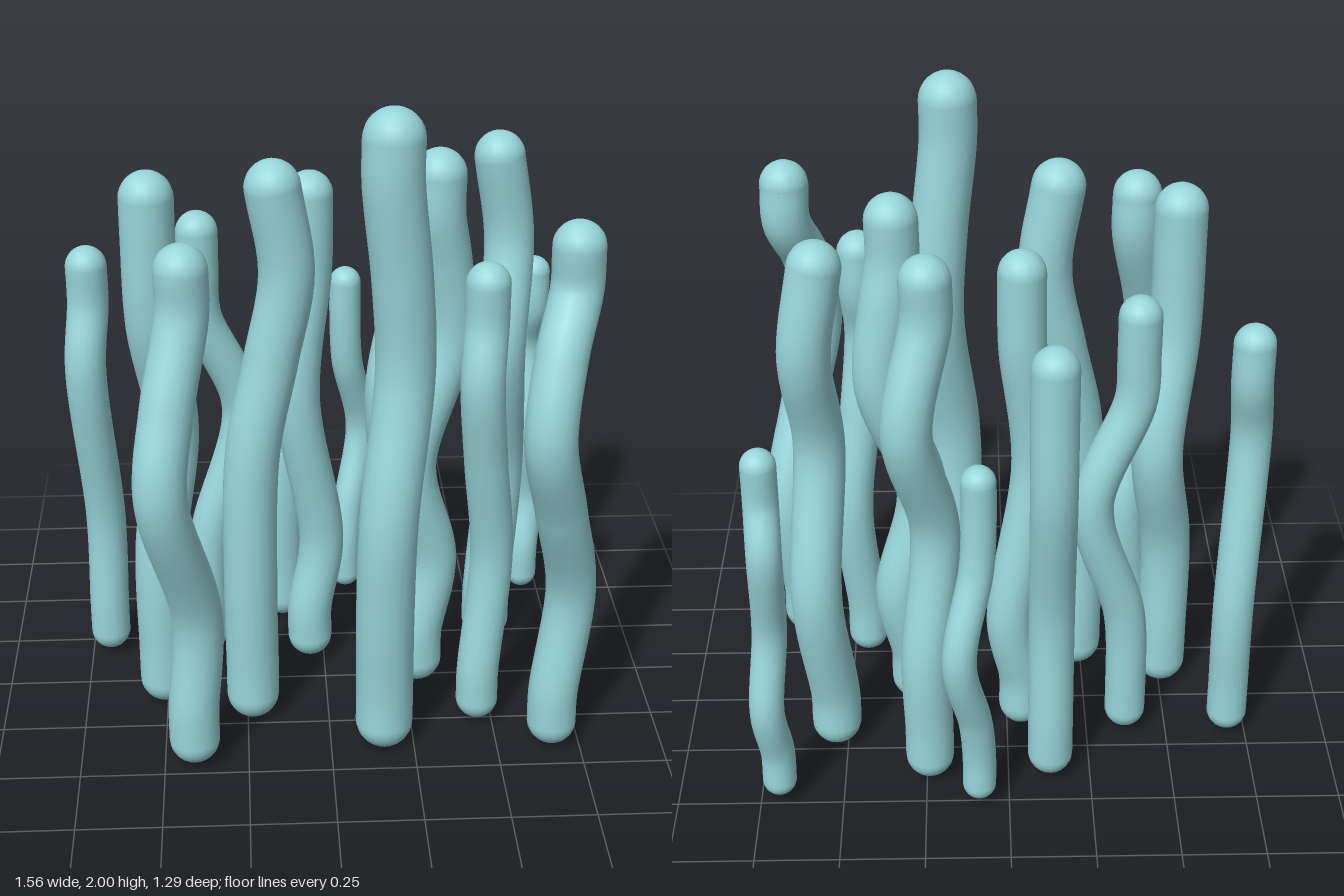
import * as THREE from 'three';

const BASE_Y = 0.088;
const UP = new THREE.Vector3(0, 1, 0);

export function createModel() {
  const model = new THREE.Group();
  const aqua = new THREE.MeshStandardMaterial({ color: 0x98d5d9 });
  aqua.name = 'pale aqua';

  // One wavy strand: a tube through the bends, closed by a dome at each end.
  // base and tip are [x, z], bends are [y, x, z], top is the full height.
  // The foot, and the last tipRun below the tip, stand upright.
  function strand(name, radius, top, base, bends, tip, tipRun = 0.12) {
    const tipY = top - radius;
    const path = [[BASE_Y, ...base], [BASE_Y + 0.1, ...base], ...bends];
    if (tipRun) path.push([tipY - tipRun, ...tip]);
    path.push([tipY, ...tip]);
    const points = path.map(([y, x, z]) => new THREE.Vector3(x, y, z));
    const curve = new THREE.CatmullRomCurve3(points);
    const group = new THREE.Group();
    group.name = name;

    const stem = new THREE.Mesh(new THREE.TubeGeometry(curve, 56, radius, 20), aqua);
    stem.name = 'stem';
    group.add(stem);

    for (const end of [0, 1]) {
      const dome = new THREE.Mesh(
        new THREE.SphereGeometry(radius, 20, 8, 0, Math.PI * 2, 0, Math.PI / 2), aqua);
      dome.name = end ? 'tipDome' : 'baseDome';
      const outward = curve.getTangentAt(end).multiplyScalar(end ? 1 : -1);
      dome.position.copy(points[end ? points.length - 1 : 0]);
      dome.quaternion.setFromUnitVectors(UP, outward);
      group.add(dome);
    }
    model.add(group);
  }

  // Front strands
  strand('tallStrand', 0.086, 2.0, [0.16, 0.365],
    [[0.5, 0.157, 0.39], [0.8, 0.163, 0.4], [1.22, 0.208, 0.325], [1.5, 0.195, 0.335]],
    [0.164, 0.358]);
  strand('frontLeftStrand', 0.074, 1.7, [0.664, 0.39],
    [[0.53, 0.703, 0.37], [0.85, 0.642, 0.478], [1.12, 0.587, 0.565], [1.35, 0.615, 0.505]],
    [0.66, 0.42]);
  strand('frontRightStrand', 0.075, 1.655, [-0.41, 0.437],
    [[0.5, -0.392, 0.425], [0.97, -0.478, 0.57], [1.2, -0.455, 0.515]], [-0.407, 0.43]);
  strand('frontInnerStrand', 0.064, 1.53, [0.452, 0.262],
    [[0.58, 0.484, 0.234], [0.9, 0.452, 0.28], [1.18, 0.428, 0.323]], [0.438, 0.284]);
  strand('frontCentreStrand', 0.08, 1.8, [-0.233, 0.2],
    [[0.5, -0.235, 0.212], [0.92, -0.222, 0.21], [1.2, -0.165, 0.18], [1.46, -0.118, 0.167]],
    [-0.155, 0.177], 0);

  // Middle strands
  strand('middleRightStrand', 0.078, 1.75, [-0.505, 0.1],
    [[0.55, -0.503, 0.1], [0.91, -0.458, 0.022], [1.28, -0.502, 0.1]], [-0.506, 0.112]);
  strand('middleLeftStrand', 0.078, 1.77, [0.288, 0.02],
    [[0.43, 0.33, -0.002], [0.78, 0.256, 0.03], [1.18, 0.37, -0.025], [1.42, 0.35, -0.01]],
    [0.325, 0.012]);
  strand('middleCentreStrand', 0.07, 1.66, [-0.045, -0.125],
    [[0.42, -0.007, -0.147], [0.95, -0.083, -0.1], [1.35, -0.045, -0.13]], [-0.042, -0.13]);
  strand('outerRightStrand', 0.062, 1.43, [-0.69, -0.18],
    [[0.5, -0.688, -0.188], [1.06, -0.718, -0.104]], [-0.704, -0.146]);

  // Back strands
  strand('backRightStrand', 0.063, 1.53, [-0.37, -0.16],
    [[0.45, -0.358, -0.165], [0.87, -0.25, -0.2], [1.2, -0.37, -0.162]], [-0.375, -0.16]);
  strand('backCentreStrand', 0.068, 1.53, [-0.127, -0.375],
    [[0.6, -0.127, -0.366], [1.05, -0.125, -0.452]], [-0.124, -0.456]);
  strand('backInnerStrand', 0.073, 1.75, [0.24, -0.375],
    [[0.45, 0.245, -0.38], [0.87, 0.212, -0.317], [1.25, 0.283, -0.418]], [0.224, -0.346]);
  strand('backLeftStrand', 0.076, 1.74, [0.533, -0.205],
    [[0.6, 0.568, -0.272], [1.07, 0.545, -0.168], [1.4, 0.567, -0.248]], [0.527, -0.23], 0);
  strand('thinBackStrand', 0.05, 1.2, [0.09, -0.515],
    [[0.33, 0.1, -0.535], [0.6, 0.145, -0.598], [0.87, 0.094, -0.532]], [0.086, -0.52]);
  strand('thinOuterStrand', 0.051, 1.24, [0.69, -0.485],
    [[0.37, 0.708, -0.522], [0.62, 0.69, -0.478], [0.93, 0.682, -0.534]], [0.686, -0.486]);

  return model;
}
